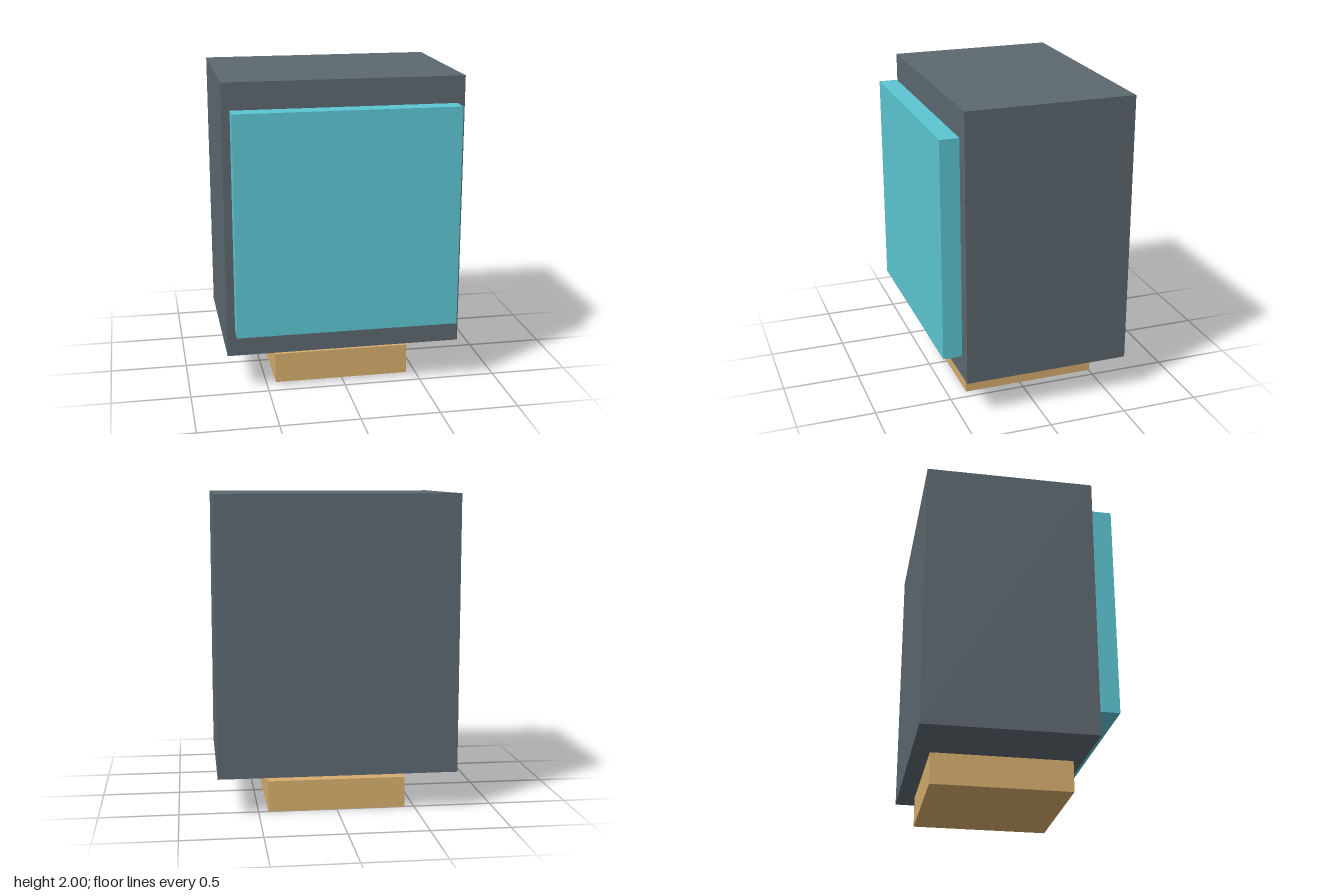
import * as THREE from 'three';

// Box given by its min and max corners
function box(name, color, [x0, y0, z0], [x1, y1, z1]) {
  const mesh = new THREE.Mesh(
    new THREE.BoxGeometry(x1 - x0, y1 - y0, z1 - z0),
    new THREE.MeshStandardMaterial({ color })
  );
  mesh.position.set((x0 + x1) / 2, (y0 + y1) / 2, (z0 + z1) / 2);
  mesh.name = name;
  return mesh;
}

export function createModel() {
  const group = new THREE.Group();
  group.name = 'monitor';
  group.add(
    // Deep cabinet
    box('cabinet', 0x5c6870, [-0.757, 0.248, -0.605], [0.757, 2, 0.468]),
    // Screen slab floating just ahead of the cabinet
    box('screen', 0x5cc6d4, [-0.707, 0.42, 0.483], [0.707, 1.832, 0.605]),
    // Square foot, with a small gap below the cabinet
    box('foot', 0xd6ad6c, [-0.438, 0, -0.505], [0.438, 0.198, 0.375])
  );
  return group;
}
